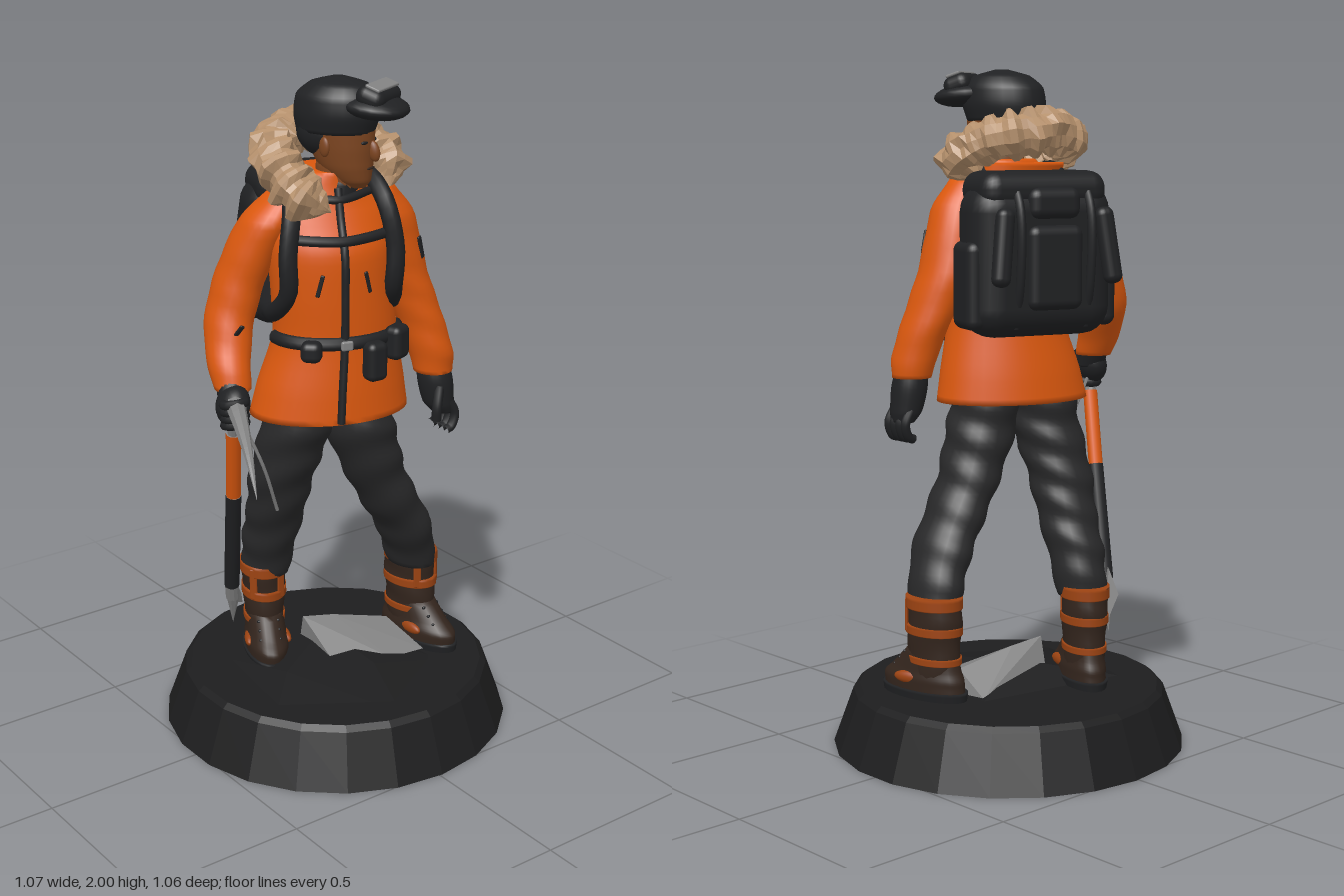
import * as THREE from 'three';
import { RoundedBoxGeometry } from 'three/addons/geometries/RoundedBoxGeometry.js';
import { ConvexGeometry } from 'three/addons/geometries/ConvexGeometry.js';

const mat = (name, color, extra = {}) => Object.assign(new THREE.MeshStandardMaterial({ color, ...extra }), { name });
const V = (p) => new THREE.Vector3(...p);

export function createModel() {
  const orange = mat('jacket orange', 0xdb580e);
  const black = mat('gear black', 0x202123);
  const charcoal = mat('trouser charcoal', 0x282829);
  const stone = mat('base black', 0x1d1d1e, { flatShading: true });
  const fur = mat('fur tan', 0xb5906c, { flatShading: true });
  const skin = mat('skin brown', 0x7d4520);
  const steel = mat('steel grey', 0x838383, { flatShading: true });
  const rust = mat('boot rust', 0x9c4312);
  const leather = mat('boot leather', 0x33251d);

  const model = new THREE.Group();
  const add = (parent, name, geo, m, pos = [0, 0, 0], rot = [0, 0, 0], scale = [1, 1, 1]) => {
    const mesh = new THREE.Mesh(geo, m);
    mesh.name = name;
    mesh.position.set(...pos);
    mesh.rotation.set(...rot);
    mesh.scale.set(...scale);
    parent.add(mesh);
    return mesh;
  };
  const group = (name, pos, yaw) => {
    const g = new THREE.Group();
    g.name = name;
    g.position.set(...pos);
    g.rotation.y = yaw;
    model.add(g);
    return g;
  };
  const box = (w, h, d, r = 0.02) => new RoundedBoxGeometry(w, h, d, 3, Math.min(r, w / 2.1, h / 2.1, d / 2.1));
  const ball = () => new THREE.SphereGeometry(1, 20, 14);

  // Smooth body through horizontal oval sections [x, y, z, halfWidth, halfDepth]; fold adds cloth ripples
  function loft(sections, { n = 24, steps = 5, fold = 0 } = {}) {
    const s = sections[0][1] < sections.at(-1)[1] ? sections : [...sections].reverse();
    const mid = new THREE.CatmullRomCurve3(s.map((p) => V(p)));
    const size = new THREE.CatmullRomCurve3(s.map((p) => V([p[3], p[4], 0])));
    const rows = (s.length - 1) * steps, pos = [], idx = [];
    for (let i = 0; i <= rows; i++) {
      const c = mid.getPoint(i / rows), r = size.getPoint(i / rows);
      for (let j = 0; j < n; j++) {
        const t = (j / n) * Math.PI * 2;
        const k = 1 + fold * Math.sin(c.y * 55 + 2.2 * Math.sin(t + c.y * 5));
        pos.push(c.x + r.x * k * Math.sin(t), c.y, c.z + r.y * k * Math.cos(t));
      }
    }
    for (let i = 0; i < rows; i++) for (let j = 0; j < n; j++) {
      const a = i * n + j, b = i * n + (j + 1) % n;
      idx.push(a, b, a + n, b, b + n, a + n);
    }
    const top = rows * n;
    for (let j = 1; j < n - 1; j++) idx.push(0, j + 1, j, top, top + j, top + j + 1);
    const g = new THREE.BufferGeometry();
    g.setAttribute('position', new THREE.Float32BufferAttribute(pos, 3));
    g.setIndex(idx);
    g.computeVertexNormals();
    return g;
  }

  // Tube whose radius follows a rule of (distance along, ring, side)
  function tube(points, r, rule = null, seg = 24, sides = 10) {
    const curve = new THREE.CatmullRomCurve3(points.map(V));
    const g = new THREE.TubeGeometry(curve, seg, r, sides, false);
    if (!rule) return g;
    const p = g.attributes.position, v = new THREE.Vector3();
    for (let i = 0; i <= seg; i++) {
      const c = curve.getPointAt(i / seg);
      for (let j = 0; j <= sides; j++) {
        const k = i * (sides + 1) + j;
        v.fromBufferAttribute(p, k).sub(c).multiplyScalar(rule(i / seg, i, j % sides)).add(c);
        p.setXYZ(k, v.x, v.y, v.z);
      }
    }
    g.computeVertexNormals();
    return g;
  }

  // Display base with low rock and a pale slab
  const profile = [[0, 0], [0.528, 0], [0.468, 0.165], [0.45, 0.18], [0, 0.18]].map((p) => new THREE.Vector2(...p));
  add(model, 'base', new THREE.LatheGeometry(profile, 22), stone, [0.009, 0, -0.002]);
  const rock = (pts) => new ConvexGeometry(pts.map(V));
  add(model, 'rockMound', rock([[-0.36, 0.17, 0.2], [-0.05, 0.17, 0.4], [0.26, 0.17, 0.22], [0.24, 0.17, -0.12],
    [-0.3, 0.17, -0.22], [-0.22, 0.21, 0.06], [0.02, 0.215, 0.18], [0.0, 0.25, -0.05]]), stone);
  add(model, 'rockSlab', rock([[-0.08, 0.31, -0.05], [0.02, 0.295, -0.03], [0.2, 0.25, 0.01], [0.23, 0.19, 0.16],
    [0.1, 0.2, 0.16], [-0.07, 0.22, 0.08], [0.2, 0.18, -0.1], [-0.06, 0.18, -0.1]]), steel);

  // Legs
  add(model, 'rightLeg', loft([[-0.135, 1.06, 0.02, 0.09, 0.125], [-0.145, 0.95, 0, 0.097, 0.112], [-0.157, 0.8, -0.05, 0.094, 0.1],
    [-0.15, 0.68, -0.09, 0.086, 0.092], [-0.145, 0.58, -0.13, 0.08, 0.09], [-0.14, 0.45, -0.165, 0.07, 0.077]],
  { fold: 0.045, steps: 8 }), charcoal);
  add(model, 'leftLeg', loft([[0.015, 1.06, 0.085, 0.09, 0.11], [0.035, 0.95, 0.09, 0.1, 0.11], [0.092, 0.8, 0.085, 0.09, 0.1],
    [0.16, 0.68, 0.082, 0.088, 0.1], [0.218, 0.58, 0.07, 0.08, 0.1], [0.265, 0.45, 0.045, 0.066, 0.086]],
  { fold: 0.045, steps: 8 }), charcoal);

  // Boots with coloured bands and patches
  for (const [side, x, z, yaw] of [['right', -0.14, -0.175, -0.45], ['left', 0.275, 0.03, 0.15]]) {
    const boot = group(side + 'Boot', [x, 0, z], yaw);
    add(boot, 'bootShaft', loft([[0, 0.48, 0, 0.07, 0.086], [0, 0.4, 0, 0.066, 0.088], [0, 0.3, 0.005, 0.06, 0.085],
      [0, 0.22, 0.01, 0.058, 0.09]], { fold: 0.03 }), leather);
    add(boot, 'bootFoot', loft([[0, 0.2, 0.04, 0.065, 0.145], [0, 0.23, 0.042, 0.066, 0.145], [0, 0.265, 0.03, 0.06, 0.12],
      [0, 0.32, 0.01, 0.055, 0.085]]), leather);
    add(boot, 'bootSole', loft([[0, 0.175, 0.04, 0.066, 0.15], [0, 0.205, 0.04, 0.071, 0.154]]), black);
    for (const [y, h, rx, rz] of [[0.465, 0.017, 0.073, 0.091], [0.385, 0.013, 0.069, 0.093], [0.295, 0.01, 0.064, 0.091]])
      add(boot, 'bootBand', loft([[0, y - h, 0.003, rx, rz], [0, y + h, 0.003, rx, rz]]), rust);
    for (const s of [-1, 1]) {
      add(boot, 'bootSidePatch', ball(), rust, [s * 0.052, 0.24, 0.05], [0, s * 0.2, 0], [0.017, 0.02, 0.055]);
      add(boot, 'bootStrip', box(0.024, 0.1, 0.008), rust, [s * 0.042, 0.425, 0.072], [0, s * 0.55, 0]);
    }
    for (let i = 0; i < 3; i++)
      add(boot, 'lace', box(0.07, 0.01, 0.012), black, [0, 0.262 + i * 0.022, 0.13 - i * 0.02], [-0.6, 0, 0]);
  }

  // Jacket, zip and straps
  const torso = group('upperBody', [-0.06, 0, 0.065], -0.32);
  add(torso, 'jacket', loft([[0, 1.03, -0.015, 0.236, 0.163], [0.005, 1.12, -0.012, 0.218, 0.155], [0.015, 1.27, -0.005, 0.182, 0.138],
    [0.005, 1.4, 0, 0.178, 0.135], [0, 1.52, 0, 0.182, 0.132], [0, 1.62, -0.01, 0.172, 0.1], [0, 1.69, -0.015, 0.12, 0.08],
    [0.01, 1.74, -0.01, 0.08, 0.07]], { n: 36 }), orange);
  add(torso, 'zip', tube([[-0.015, 1.035, 0.147], [-0.01, 1.12, 0.142], [0, 1.27, 0.133], [0, 1.4, 0.136], [0, 1.52, 0.133],
    [0, 1.62, 0.093], [0, 1.7, 0.07]], 0.012), black);
  for (const s of [-1, 1]) {
    add(torso, 'shoulderStrap', tube([[s * 0.11, 1.66, -0.14], [s * 0.115, 1.715, -0.03], [s * 0.135, 1.66, 0.075],
      [s * 0.157, 1.53, 0.108], [s * 0.155, 1.42, 0.1], [s * 0.17, 1.35, 0.03], [s * 0.15, 1.31, -0.1]], 0.026), black);
    add(torso, 'chestPocketZip', box(0.012, 0.065, 0.008), black, [s * 0.07, 1.44, 0.125], [0, s * 0.35, s * 0.25]);
  }
  add(torso, 'chestStrap', tube([[-0.15, 1.57, 0.085], [-0.07, 1.565, 0.115], [0, 1.562, 0.126], [0.07, 1.565, 0.115], [0.15, 1.57, 0.085]], 0.015), black);
  add(torso, 'collarStrap', tube([[-0.11, 1.68, 0.035], [0, 1.67, 0.083], [0.11, 1.68, 0.035]], 0.012), black);

  // Belt across the front with pouches
  const beltPath = [];
  for (let a = -1.5; a < 1.6; a += 0.3) beltPath.push([0.015 + 0.182 * Math.sin(a), 1.268, 0.137 * Math.cos(a) - 0.005]);
  add(torso, 'belt', tube(beltPath, 0.02), black);
  for (const [a, y, w, h] of [[-0.6, 1.255, 0.06, 0.06], [0.35, 1.215, 0.065, 0.115], [0.85, 1.25, 0.07, 0.1]])
    add(torso, 'beltPouch', box(w, h, 0.055), black, [0.015 + 0.2 * Math.sin(a), y, 0.16 * Math.cos(a)], [0, a * 0.8, 0]);
  add(torso, 'buckle', box(0.035, 0.028, 0.012), steel, [0, 1.268, 0.153]);

  // Backpack
  const pack = group('backpack', [-0.02, 0, 0.07], -0.32);
  add(pack, 'packBody', box(0.44, 0.44, 0.2, 0.085), black, [-0.015, 1.46, -0.212]);
  add(pack, 'packLid', box(0.39, 0.11, 0.2, 0.05), black, [-0.015, 1.655, -0.205]);
  add(pack, 'packFrontPocket', box(0.17, 0.24, 0.06, 0.028), black, [-0.03, 1.44, -0.305]);
  add(pack, 'packTopPocket', box(0.16, 0.09, 0.07, 0.03), black, [-0.03, 1.62, -0.295]);
  for (const s of [-1, 1]) {
    add(pack, 'packSidePocket', box(0.06, 0.25, 0.13, 0.028), black, [-0.015 + s * 0.205, 1.39, -0.212]);
    add(pack, 'packTallPouch', box(0.055, 0.22, 0.05, 0.024), black, [-0.03 + s * 0.165, 1.5, -0.32], [0.1, 0, s * 0.12]);
    add(pack, 'packStrap', tube([[s * 0.11 - 0.03, 1.7, -0.26], [s * 0.11 - 0.03, 1.6, -0.318], [s * 0.11 - 0.03, 1.4, -0.316],
      [s * 0.11 - 0.03, 1.27, -0.28]], 0.013), black);
  }

  // Sleeves and gloves
  add(model, 'rightSleeve', loft([[-0.175, 1.675, 0, 0.045, 0.055], [-0.225, 1.59, -0.025, 0.072, 0.085], [-0.283, 1.42, -0.07, 0.073, 0.08],
    [-0.322, 1.3, -0.065, 0.069, 0.075], [-0.352, 1.2, -0.02, 0.06, 0.065], [-0.362, 1.14, 0.01, 0.052, 0.055]], { fold: 0.02 }), orange);
  add(model, 'leftSleeve', loft([[0.075, 1.685, 0.105, 0.045, 0.055], [0.115, 1.59, 0.105, 0.075, 0.08], [0.168, 1.42, 0.1, 0.07, 0.088],
    [0.215, 1.28, 0.125, 0.066, 0.08], [0.243, 1.17, 0.15, 0.064, 0.07], [0.25, 1.11, 0.155, 0.058, 0.06]], { fold: 0.02 }), orange);
  add(model, 'sleeveZip', box(0.016, 0.07, 0.008), black, [0.176, 1.5, 0.18], [-0.05, 0.4, 0.3]);
  add(model, 'sleeveZip', box(0.014, 0.08, 0.008), black, [-0.345, 1.29, 0.004], [0.5, -0.3, -0.3]);
  add(model, 'leftGlove', loft([[0.25, 1.14, 0.155, 0.045, 0.045], [0.255, 1.08, 0.16, 0.052, 0.055], [0.265, 1.01, 0.165, 0.045, 0.05],
    [0.275, 0.98, 0.168, 0.03, 0.04]]), black);
  for (let i = 0; i < 4; i++)
    add(model, 'leftFinger', tube([[0.275, 1.02, 0.13 + i * 0.024], [0.295, 0.975, 0.132 + i * 0.025], [0.28, 0.937, 0.135 + i * 0.024],
      [0.262, 0.93, 0.137 + i * 0.023]], 0.014), black);
  add(model, 'leftThumb', tube([[0.24, 1.07, 0.2], [0.222, 1.01, 0.212], [0.222, 0.97, 0.21]], 0.015), black);
  add(model, 'rightGlove', ball(), black, [-0.385, 1.105, 0.045], [0.4, -0.4, -0.2], [0.047, 0.06, 0.062]);
  add(model, 'rightGloveCuff', loft([[-0.363, 1.175, 0.005, 0.042, 0.045], [-0.378, 1.1, 0.04, 0.045, 0.045]]), black);
  for (let i = 0; i < 4; i++)
    add(model, 'rightFinger', new THREE.TorusGeometry(0.03, 0.014, 8, 16), black, [-0.405 + i * 0.006, 1.125 - i * 0.024, 0.082 - i * 0.008], [1.35, 0, 0.1]);

  // Ice axe
  const axe = [[-0.405, 1.13, 0.08], [-0.385, 1.02, 0.045], [-0.35, 0.8, -0.015], [-0.3, 0.46, -0.11], [-0.288, 0.41, -0.125]];
  const shaftParts = [['axeNeck', steel, 0.017], ['axeGrip', orange, 0.022], ['axeHandle', black, 0.023], ['axeFerrule', steel, 0.021]];
  shaftParts.forEach(([name, m, r], i) => add(model, name, tube([axe[i], axe[i + 1]], r, null, 4), m));
  add(model, 'axeSpike', tube([axe[4], [-0.272, 0.31, -0.15]], 0.02, (t) => 1 - 0.97 * t, 6, 8), steel);
  add(model, 'axeFoot', rock([[-0.31, 0.5, -0.1], [-0.29, 0.5, -0.13], [-0.245, 0.44, -0.215], [-0.2, 0.36, -0.21], [-0.23, 0.36, -0.16], [-0.3, 0.4, -0.11]]), steel);
  add(model, 'axePick', tube([[-0.365, 1.115, 0.02], [-0.415, 1.115, 0.11], [-0.455, 1.085, 0.2], [-0.495, 1.04, 0.29], [-0.535, 0.97, 0.38]],
    0.032, (t) => 1.02 - t ** 1.2, 16, 8), steel);
  add(model, 'axeCord', tube([[-0.36, 1.07, 0.03], [-0.29, 0.9, 0.05], [-0.22, 0.73, 0.02]], 0.005, null, 12, 6), steel);

  // Hood, dark inner collar and fur ruff
  add(model, 'hood', loft([[-0.04, 1.62, 0.03, 0.13, 0.1], [-0.05, 1.68, 0.02, 0.145, 0.1], [-0.055, 1.73, 0.0, 0.14, 0.09]]), orange);
  add(model, 'innerCollar', loft([[-0.045, 1.66, 0.06, 0.085, 0.08], [-0.035, 1.715, 0.06, 0.075, 0.078]]), black);
  const noise = (i, j) => { const v = Math.sin(i * 12.99 + j * 78.23) * 43758.5; return v - Math.floor(v); };
  const ruff = [[-0.14, 1.65, 0.18], [-0.197, 1.7, 0.11], [-0.203, 1.765, 0.015], [-0.16, 1.8, -0.065], [-0.06, 1.82, -0.1],
    [0.045, 1.81, -0.075], [0.1, 1.79, 0.0], [0.115, 1.745, 0.08], [0.085, 1.68, 0.15]];
  add(model, 'furRuff', tube(ruff, 0.066, (t, i, j) => (0.8 + 0.36 * noise(i >> 1, j) + (i % 4 < 2 ? -0.1 : 0.06)) * Math.min(1, 12 * t, 12 * (1 - t)), 64, 12), fur);

  // Head
  const head = group('head', [-0.04, 0, 0.08], 0.45);
  add(head, 'neck', loft([[0, 1.64, -0.01, 0.06, 0.065], [0, 1.78, 0, 0.057, 0.065]]), skin);
  add(head, 'face', loft([[0, 1.695, 0.055, 0.022, 0.026], [0, 1.715, 0.04, 0.046, 0.055], [0, 1.755, 0.02, 0.065, 0.08],
    [0, 1.81, 0.008, 0.075, 0.096], [0, 1.87, 0, 0.08, 0.104], [0, 1.92, 0, 0.074, 0.095]]), skin);
  add(head, 'nose', ball(), skin, [0, 1.8, 0.107], [-0.25, 0, 0], [0.013, 0.03, 0.018]);
  add(head, 'mouth', ball(), leather, [0, 1.752, 0.098], [0, 0, 0], [0.02, 0.004, 0.006]);
  add(head, 'hair', ball(), black, [0, 1.85, -0.04], [0, 0, 0], [0.084, 0.08, 0.085]);
  for (const s of [-1, 1]) {
    add(head, 'eye', ball(), black, [s * 0.031, 1.827, 0.094], [0, s * 0.35, 0], [0.012, 0.005, 0.005]);
    add(head, 'ear', ball(), skin, [s * 0.078, 1.815, -0.005], [0, s * 0.3, 0], [0.01, 0.028, 0.018]);
  }

  // Cap with a thick peak and raised goggles
  add(head, 'cap', loft([[0, 1.85, -0.012, 0.088, 0.115], [0, 1.9, -0.008, 0.097, 0.126], [0, 1.945, -0.006, 0.092, 0.12],
    [0, 1.98, 0, 0.064, 0.085], [0, 1.998, 0, 0.015, 0.02]]), black);
  add(head, 'capPeak', ball(), black, [0, 1.925, 0.11], [0.1, 0, 0], [0.092, 0.034, 0.098]);
  add(head, 'goggleFrame', box(0.15, 0.085, 0.06, 0.03), black, [0, 1.955, 0.12], [-1.25, 0, 0]);
  add(head, 'goggleLens', box(0.125, 0.045, 0.009, 0.004), steel, [0, 1.984, 0.131], [-1.25, 0, 0]);

  return model;
}
